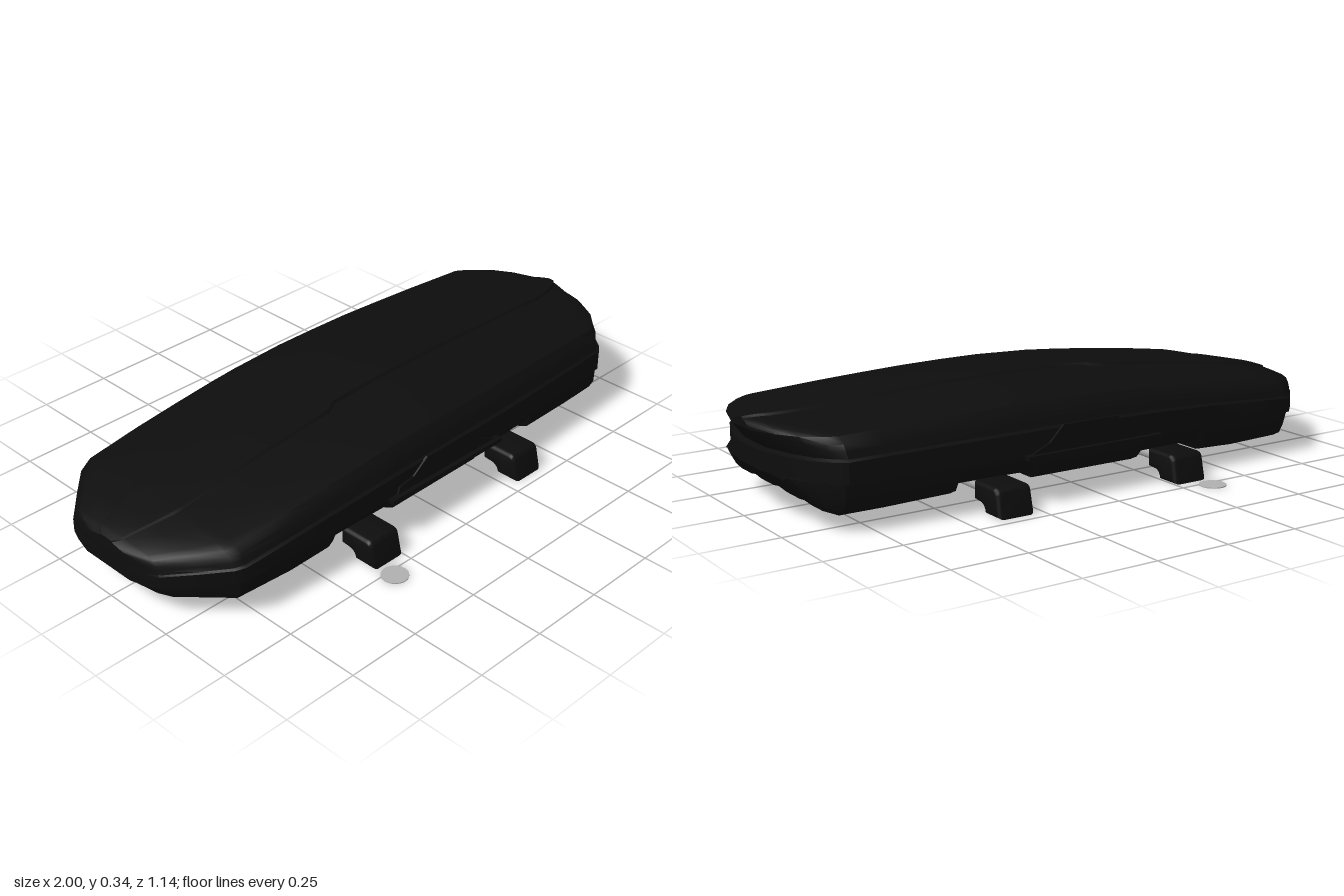
import * as THREE from 'three';
import { toCreasedNormals } from 'three/addons/utils/BufferGeometryUtils.js';

// Piecewise linear lookup in [position, value] pairs
function lerpTable(table, x) {
  if (x <= table[0][0]) return table[0][1];
  for (let i = 1; i < table.length; i++) {
    const [x0, v0] = table[i - 1], [x1, v1] = table[i];
    if (x <= x1) return v0 + (v1 - v0) * (x - x0) / (x1 - x0);
  }
  return table[table.length - 1][1];
}

// Skins mirrored cross-sections; each half runs from bottom centre, outwards, to top centre
function loft(halves, crease) {
  const rows = halves.map(h => [...h, ...h.map(([x, y, z]) => [x, y, -z]).reverse()]);
  const n = rows[0].length, pos = [], index = [];
  rows.forEach(r => r.forEach(p => pos.push(...p)));
  for (let i = 0; i < rows.length - 1; i++) {
    for (let j = 0; j < n; j++) {
      const k = (j + 1) % n, a = i * n + j, b = i * n + k;
      index.push(a, a + n, b, a + n, b + n, b);
    }
  }
  const last = (rows.length - 1) * n;
  for (let j = 0; j < n / 2 - 1; j++) {
    const m = n - 1 - j;
    index.push(j, j + 1, m, j + 1, m - 1, m);
    index.push(last + j, last + m, last + j + 1, last + j + 1, last + m, last + m - 1);
  }
  const g = new THREE.BufferGeometry();
  g.setAttribute('position', new THREE.Float32BufferAttribute(pos, 3));
  g.setIndex(index);
  return toCreasedNormals(g, crease);
}

// Plan half-width, roof line and seam height along the length
const WIDTH = [[-1, 0.1], [-0.985, 0.16], [-0.97, 0.2], [-0.89, 0.285], [-0.82, 0.355], [-0.79, 0.37], [-0.6, 0.38],
  [-0.3, 0.388], [0, 0.39], [0.3, 0.384], [0.6, 0.368], [0.84, 0.352], [0.88, 0.325], [0.93, 0.27], [0.97, 0.19], [1, 0.07]];
const ROOF = [[-1, 0.212], [-0.97, 0.225], [-0.8, 0.26], [-0.6, 0.29], [-0.4, 0.315], [-0.2, 0.334], [0, 0.343],
  [0.2, 0.344], [0.4, 0.339], [0.6, 0.331], [0.8, 0.321], [0.97, 0.312], [1, 0.305]];
const SEAM = [[-1, 0.11], [-0.8, 0.14], [-0.4, 0.15], [1, 0.15]];

// Lid: [fraction of width, fraction of height], with a raised centre rib
const LID = [[0, 0], [1, 0], [1, 0.39], [0.975, 0.43], [0.955, 0.55], [0.93, 0.67], [0.875, 0.79], [0.77, 0.855],
  [0.5, 0.91]];
const UNDERCUT = [[0, -0.025], [0.39, -0.025], [0.43, -0.045], [0.67, -0.015], [0.79, 0]];

function lidGeometry() {
  const xs = [...WIDTH.map(p => p[0]), -0.45, -0.2, -0.16, 0.15, 0.45, 0.72].sort((a, b) => a - b);
  return loft(xs.map(x => {
    const w = lerpTable(WIDTH, x), s = lerpTable(SEAM, x), h = lerpTable(ROOF, x) - s;
    const rib = lerpTable([[-0.2, 0.25], [-0.16, 0.19]], x);
    const ramp = THREE.MathUtils.clamp((x - 0.8) / 0.2, 0, 1);
    return [...LID, [rib + 0.02, 0.945], [rib, 0.99], [0, 1]].map(([fz, t]) =>
      [x + ramp * lerpTable(UNDERCUT, t), s + h * t, w * fz]);
  }), 0.5);
}

// Floor heights, with two cross channels for the bars
const FLOOR = [[-0.99, 0.105], [-0.96, 0.083], [-0.93, 0.068], [-0.8, 0.048], [-0.6, 0.048], [-0.45, 0.055], [-0.43, 0.085],
  [-0.2, 0.085], [-0.18, 0.064], [0.2, 0.064], [0.215, 0.085], [0.47, 0.085], [0.48, 0.058],
  [0.7, 0.05], [0.84, 0.048], [0.88, 0.063], [0.91, 0.09], [0.955, 0.142]];

function baseGeometry() {
  return loft(FLOOR.map(([x, floor]) => {
    const w = lerpTable(WIDTH, x), top = lerpTable(SEAM, x) + 0.005;
    const groove = x > 0.9 || x < -0.95 ? 0 : 0.016;
    // centre notch and a shallow groove on either side
    return [[0, groove], [0.08, groove], [0.14, 0], [0.4, 0], [0.45, groove * 0.7], [0.56, groove * 0.7],
      [0.61, 0], [0.83, 0], [0.91, 0.015], [0.955, 0.045], [0.96, 1], [0, 1]]
      .map(([fz, dy]) => [x, Math.min(floor + dy, top), w * fz]);
  }), 0.5);
}

// Clamp foot: side profile in (z, y), extruded along x with rounded edges
function footGeometry() {
  const s = new THREE.Shape();
  s.moveTo(0.38, 0);
  s.lineTo(0.465, 0);
  s.lineTo(0.449, 0.07);
  s.quadraticCurveTo(0.445, 0.089, 0.425, 0.089);
  s.lineTo(0.32, 0.089);
  s.lineTo(0.32, 0.03);
  s.lineTo(0.36, 0.026);
  s.quadraticCurveTo(0.378, 0.02, 0.38, 0);
  const b = 0.016, depth = 0.126 - 2 * b;
  const g = new THREE.ExtrudeGeometry(s, {
    depth, bevelSize: b, bevelOffset: -b, bevelThickness: b, bevelSegments: 4, curveSegments: 6,
  });
  g.translate(0, 0, -depth / 2);
  g.rotateY(-Math.PI / 2);
  return toCreasedNormals(g, 0.6);
}

export function createModel() {
  const group = new THREE.Group();
  const black = new THREE.MeshStandardMaterial({ name: 'black plastic', color: 0x0d0d0d });
  const grey = new THREE.MeshStandardMaterial({ name: 'light grey metal', color: 0xb0b0b0 });
  const add = (name, geometry, material, x = 0, y = 0, z = 0) => {
    const mesh = new THREE.Mesh(geometry, material);
    mesh.name = name;
    mesh.position.set(x, y, z);
    group.add(mesh);
    return mesh;
  };

  add('lid', lidGeometry(), black);
  add('base', baseGeometry(), black);

  // Side handles: grip rail and trapezoid panel on both long sides
  const panel = new THREE.Shape([[-0.2, 0.155], [-0.19, 0.18], [-0.13, 0.19], [-0.07, 0.235], [0.13, 0.235], [0.18, 0.185],
    [0.25, 0.155]].reverse().map(p => new THREE.Vector2(...p)));
  const panelGeometry = new THREE.ExtrudeGeometry(panel, { depth: 0.008, bevelEnabled: false });
  const railGeometry = new THREE.BoxGeometry(0.5, 0.014, 0.024);
  for (const side of [1, -1]) {
    add('handlePanel', panelGeometry, black, 0, 0, side > 0 ? 0.387 : -0.395);
    add('handleRail', railGeometry, black, 0.015, 0.15, side * 0.398);
  }

  // Cross bars with a clamp foot at each end
  const foot = footGeometry();
  const bar = new THREE.CylinderGeometry(0.021, 0.021, 0.7, 24);
  bar.rotateX(Math.PI / 2);
  for (const x of [-0.31, 0.345]) {
    add('crossBar', bar, grey, x, 0.053, 0);
    add('footFront', foot, black, x);
    add('footBack', foot, black, x).rotation.y = Math.PI;
  }

  // Loose flat discs beside the feet
  const disc = new THREE.CylinderGeometry(0.043, 0.043, 0.003, 32);
  add('discFront', disc, grey, -0.345, 0.0025, 0.523);
  add('discBack', disc, grey, -0.345, 0.0025, -0.528);

  return group;
}
